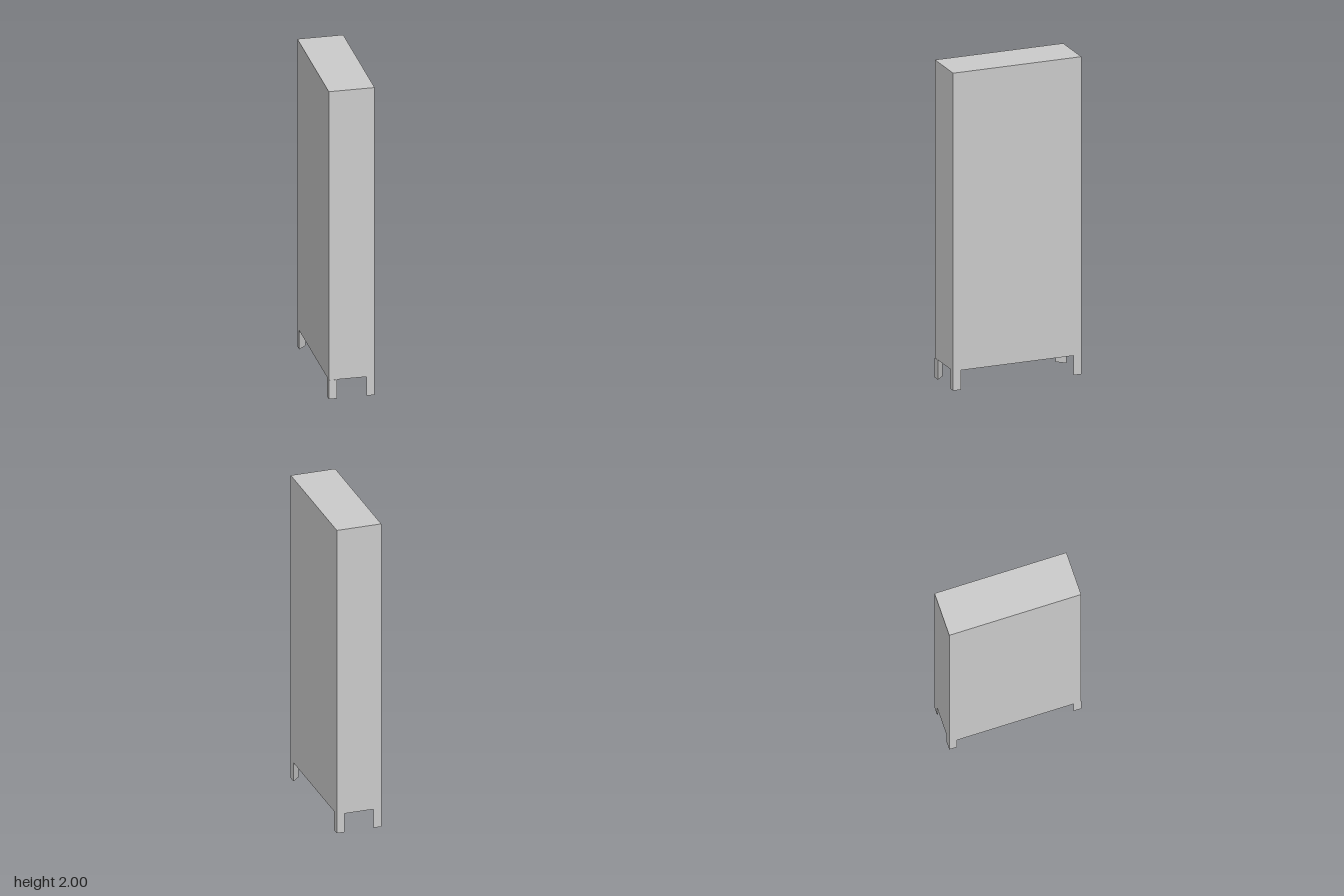
import * as THREE from 'three';

const W = 0.282, D = 0.832, H = 2, LEG_H = 0.123, LEG = 0.05;

export function createModel() {
  const group = new THREE.Group();
  const material = new THREE.MeshStandardMaterial({ color: 0xcccccc, flatShading: true });

  // Tall closed cabinet
  const body = new THREE.Mesh(new THREE.BoxGeometry(W, H - LEG_H, D), material);
  body.name = 'cabinetBody';
  body.position.set(0, (H + LEG_H) / 2, -0.001);
  group.add(body);

  // Triangular corner legs, right angle at the outer corner
  const addLeg = (name, sx, sz, zOut) => {
    const corners = [[0, 0], [-sx * LEG, 0], [0, sz * LEG]];
    if (sx * sz < 0) corners.reverse();
    const shape = new THREE.Shape(corners.map(([x, y]) => new THREE.Vector2(x, y)));
    const geometry = new THREE.ExtrudeGeometry(shape, { depth: LEG_H, bevelEnabled: false });
    geometry.rotateX(-Math.PI / 2);
    const leg = new THREE.Mesh(geometry, material);
    leg.name = name;
    leg.position.set(sx * W / 2, 0, zOut);
    group.add(leg);
  };
  const front = D / 2 - 0.001, back = -D / 2 - 0.001;
  addLeg('frontLeftLeg', 1, 1, front);
  addLeg('frontRightLeg', -1, 1, front + 0.002); // stands slightly proud of the front
  addLeg('backLeftLeg', 1, -1, back);
  addLeg('backRightLeg', -1, -1, back);

  return group;
}
